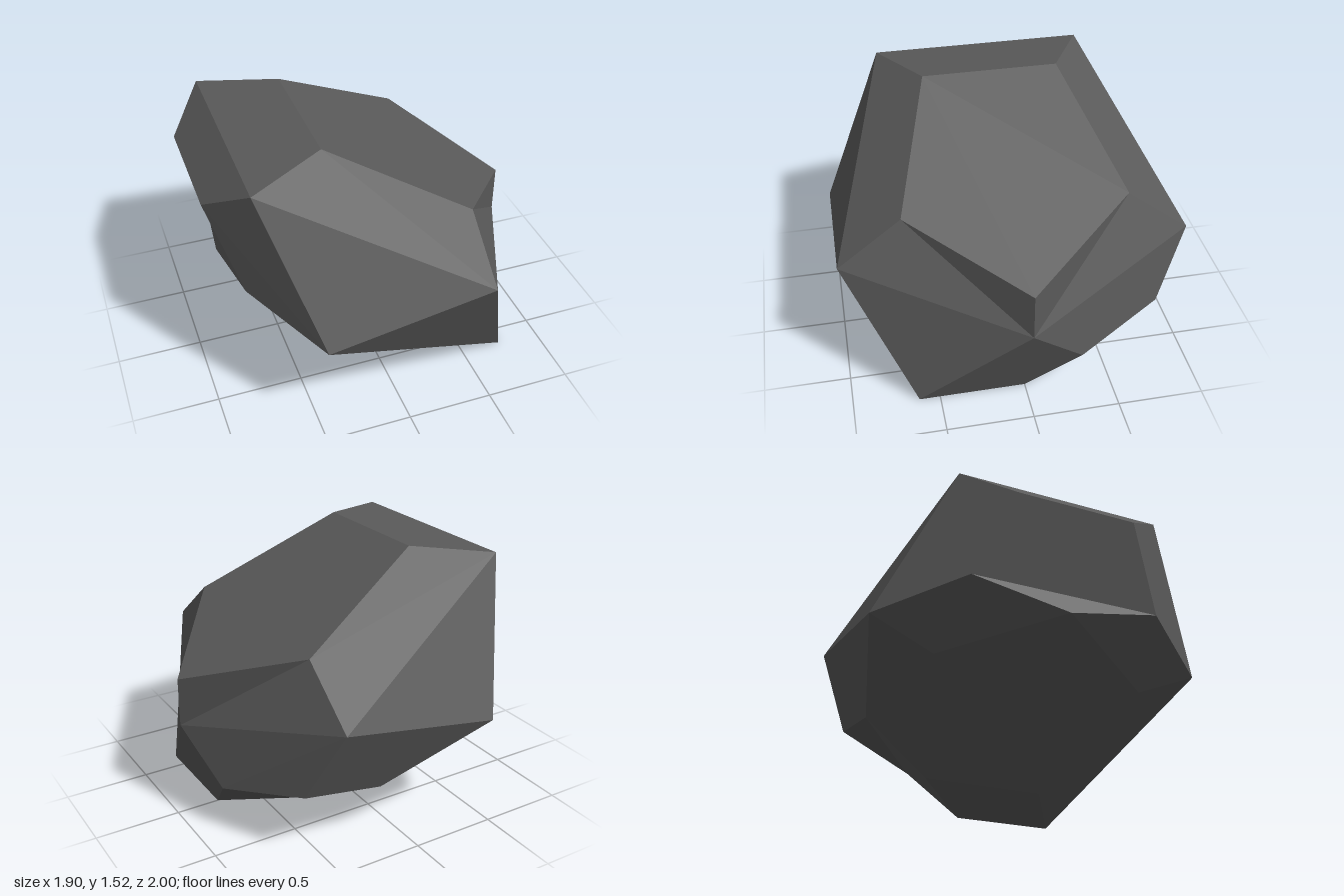
import * as THREE from 'three';

// Corner points that exist on both sides of the rock (z mirrored)
const PAIRED = {
  topBack: [-0.31, 1.52, 0.395],
  topLow: [-0.75, 1.47, 0.62],
  shoulder: [0.475, 1.105, 0.635],
  wideRight: [0.475, 0.82, 1],
  wideLeft: [-0.48, 0.655, 1],
  cutTop: [-0.955, 1.29, 0.35],
  cutSide: [-0.8, 0.825, 0.56],
  baseLeft: [-0.46, 0.5, 0.63],
  baseRight: [0.33, 0.085, 0.37],
};

// Corner points on the middle plane, the foot, and the chipped corner
const SINGLE = {
  noseTop: [0.95, 0.85, 0],
  noseLow: [0.95, 0.565, 0],
  tail: [-0.84, 0.7, 0],
  foot: [0.745, 0, 0.62],
  chipNose: [0.85, 0.28, -0.31],
  chipWide: [0.61, 0.405, -0.81],
  chipBack: [0.13, 0.325, -0.81],
  chipBase: [0.745, 0, 0],
};

// Facets repeated on both sides ('*' takes the side's sign)
const SIDE_FACETS = [
  'topLow* topBack* shoulder* wideRight*',
  'topLow* wideRight* wideLeft*',
  'topLow* wideLeft* cutSide* cutTop*',
  'wideRight* shoulder* noseLow',
  'shoulder* noseTop noseLow',
  'wideLeft* baseLeft* cutSide*',
  'baseLeft* tail cutSide*',
];

const OTHER_FACETS = [
  // top, left end and underside
  'topBack+ shoulder+ noseTop shoulder- topBack-',
  'topLow+ topBack+ topBack- topLow-',
  'topLow+ cutTop+ cutTop- topLow-',
  'cutTop+ cutSide+ cutSide- cutTop-',
  'cutSide+ tail cutSide-',
  'tail baseLeft+ baseRight+ baseRight- baseLeft-',
  // around the pointed foot
  'wideRight+ noseLow foot',
  'wideRight+ foot wideLeft+',
  'foot baseRight+ baseLeft+ wideLeft+',
  'noseLow foot chipBase chipNose',
  'foot baseRight+ baseRight- chipBase',
  // around the chipped corner
  'wideRight- noseLow chipNose chipWide',
  'wideRight- chipWide chipBack wideLeft-',
  'chipBack baseRight- baseLeft- wideLeft-',
  'chipNose chipBase baseRight- chipBack chipWide',
];

function cornerPoint(name) {
  const sign = name.slice(-1);
  if (sign !== '+' && sign !== '-') return new THREE.Vector3(...SINGLE[name]);
  const p = new THREE.Vector3(...PAIRED[name.slice(0, -1)]);
  if (sign === '-') p.z *= -1;
  return p;
}

export function createModel() {
  const group = new THREE.Group();
  group.name = 'rock';

  const facets = [...OTHER_FACETS];
  for (const sign of ['+', '-']) {
    for (const facet of SIDE_FACETS) facets.push(facet.replaceAll('*', sign));
  }

  // Fan each facet into triangles that face away from the middle
  const middle = new THREE.Vector3(0, 0.74, 0);
  const positions = [];
  for (const facet of facets) {
    const pts = facet.split(' ').map(cornerPoint);
    const normal = new THREE.Vector3();
    const centre = new THREE.Vector3();
    pts.forEach((p, i) => {
      normal.add(p.clone().cross(pts[(i + 1) % pts.length]));
      centre.addScaledVector(p, 1 / pts.length);
    });
    if (normal.dot(centre.sub(middle)) < 0) pts.reverse();
    for (let i = 1; i < pts.length - 1; i++) {
      for (const p of [pts[0], pts[i], pts[i + 1]]) positions.push(p.x, p.y, p.z);
    }
  }

  const geometry = new THREE.BufferGeometry();
  geometry.setAttribute('position', new THREE.Float32BufferAttribute(positions, 3));
  geometry.computeVertexNormals();

  const stone = new THREE.MeshStandardMaterial({ color: 0x5a5a5a });
  stone.name = 'stone grey';
  stone.flatShading = true;

  const boulder = new THREE.Mesh(geometry, stone);
  boulder.name = 'boulder';
  group.add(boulder);
  return group;
}
